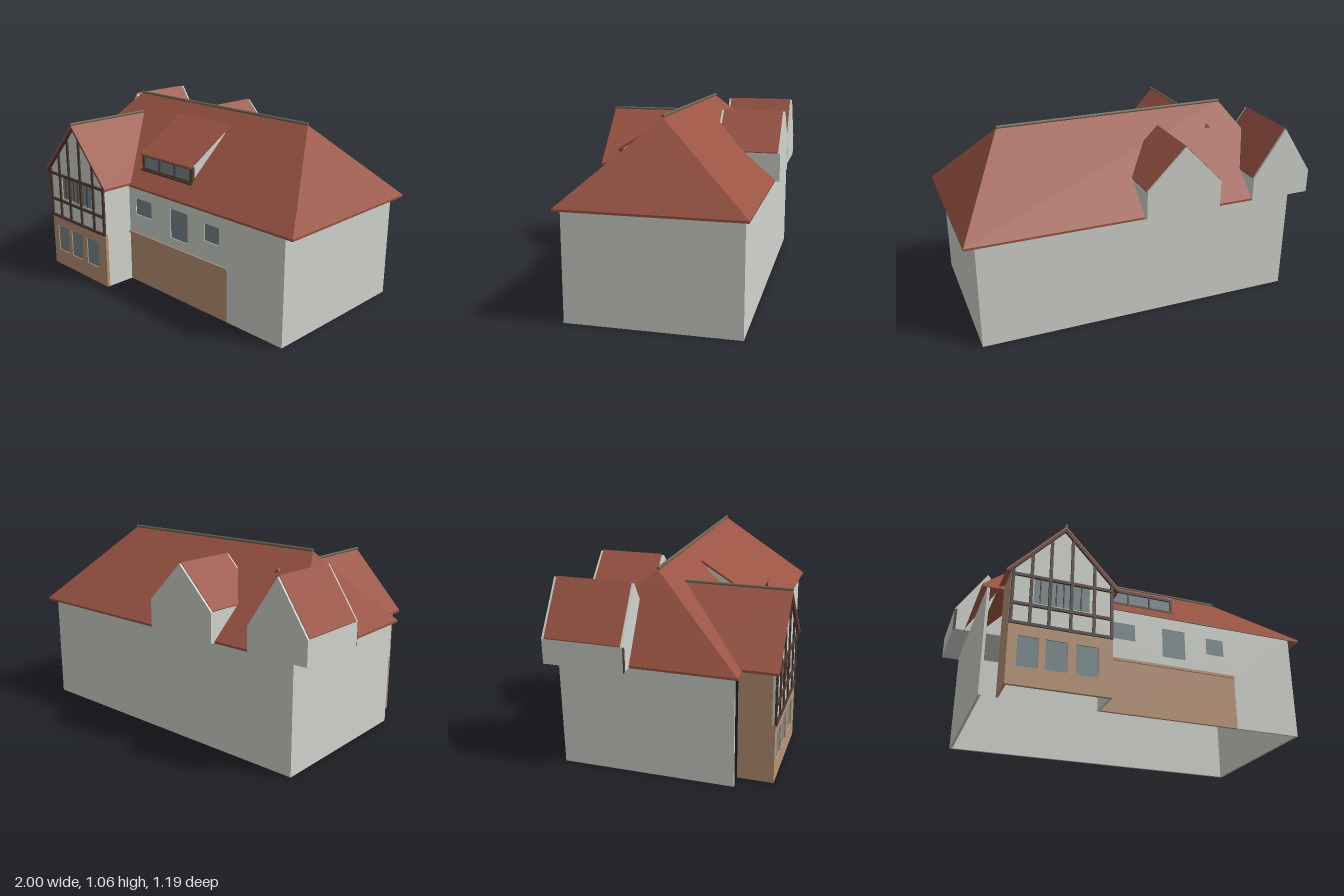
import * as THREE from 'three';

const mat = (name, color, side = THREE.FrontSide) => {
  const m = new THREE.MeshStandardMaterial({ color, side });
  m.name = name;
  return m;
};

export function createModel() {
  const house = new THREE.Group();
  house.name = 'house';
  const render = mat('pale render', 0xd0d3cd);
  const tile = mat('red roof tile', 0x9a5444, THREE.DoubleSide);
  const brick = mat('brick', 0xb89274);
  const glass = mat('grey glass', 0x76878c);
  const timber = mat('dark timber', 0x4f3b33);
  const cap = mat('ridge stone', 0x6e6655);

  const add = (name, geo, m) => {
    const mesh = new THREE.Mesh(geo, m);
    mesh.name = name;
    house.add(mesh);
    return mesh;
  };
  // Box given by its minimum and maximum on each axis
  const box = (name, m, x0, x1, y0, y1, z0, z1) =>
    add(name, new THREE.BoxGeometry(x1 - x0, y1 - y0, z1 - z0)
      .translate((x0 + x1) / 2, (y0 + y1) / 2, (z0 + z1) / 2), m);
  const shapeOf = pts => new THREE.Shape(pts.map(p => new THREE.Vector2(...p)));
  // Outline in x,y pushed along z, with rectangular holes [x0, x1, y0, y1]
  const prism = (name, m, pts, z0, z1, holes = []) => {
    const s = shapeOf(pts);
    for (const [a, b, c, d] of holes)
      s.holes.push(new THREE.Path([[a, c], [a, d], [b, d], [b, c]].map(p => new THREE.Vector2(...p))));
    return add(name, new THREE.ExtrudeGeometry(s, { depth: z1 - z0, bevelEnabled: false }).translate(0, 0, z0), m);
  };
  // Outline in z,y pushed along x
  const sidePrism = (name, m, pts, x0, x1) =>
    add(name, new THREE.ExtrudeGeometry(shapeOf(pts), { depth: x1 - x0, bevelEnabled: false })
      .rotateY(-Math.PI / 2).translate(x1, 0, 0), m);
  const rect = (x0, x1, y0, y1) => [[x0, y0], [x1, y0], [x1, y1], [x0, y1]];
  // Inverted V of thickness t, for gable roofs and barge boards
  const chevron = (cx, w, eave, peak, t) => [
    [cx - w, eave - t], [cx, peak - t], [cx + w, eave - t],
    [cx + w, eave], [cx, peak], [cx - w, eave]];
  const panes = (name, list, z) => list.forEach(([a, b, c, d]) => box(name, glass, a, b, c, d, z, z + 0.007));

  // Main walls, open below
  box('backWall', render, -0.90, 0.94, 0, 0.612, -0.545, -0.53);
  box('rightWall', render, -0.90, -0.885, 0, 0.612, -0.53, 0.39);
  box('leftWall', render, 0.925, 0.94, 0, 0.612, -0.53, 0.39);
  const upper = [[-0.20, -0.06, 0.435, 0.535], [0.105, 0.245, 0.37, 0.545], [0.38, 0.49, 0.43, 0.53]];
  prism('frontWall', render, [[-0.26, 0.31], [0.55, 0.31], [0.55, 0], [0.925, 0], [0.925, 0.612], [-0.26, 0.612]],
    0.375, 0.39, upper);
  panes('upperWindow', upper, 0.378);
  box('brickWall', brick, -0.26, 0.55, 0, 0.31, 0.375, 0.39);
  box('brickCourse', brick, -0.26, 0.55, 0.302, 0.317, 0.386, 0.398);

  // Hipped main roof: eave rings and a ridge
  const A = [[-0.93, 0.41], [1, 0.41], [1, -0.57], [-0.93, -0.57]];
  const R = [[-0.67, 1.045, -0.075], [0.69, 1.045, -0.075]];
  const low = A.map(([x, z]) => [x, 0.604, z]), top = A.map(([x, z]) => [x, 0.616, z]);
  const tris = [];
  const quad = (a, b, c, d) => tris.push(a, b, c, a, c, d);
  for (let i = 0; i < 4; i++) quad(low[i], low[(i + 1) % 4], top[(i + 1) % 4], top[i]);
  quad(top[0], top[1], R[1], R[0]);
  quad(top[2], top[3], R[0], R[1]);
  tris.push(top[1], top[2], R[1], top[3], top[0], R[0]);
  const hip = new THREE.BufferGeometry();
  hip.setAttribute('position', new THREE.Float32BufferAttribute(tris.flat(), 3));
  hip.computeVertexNormals();
  add('mainRoof', hip, tile);
  add('mainRidge', new THREE.CylinderGeometry(0.009, 0.009, 1.36, 8).rotateZ(Math.PI / 2)
    .translate(0.01, 1.05, -0.075), cap);

  // Front bay
  const cx = -0.535;
  const ground = [[-0.76, -0.65, 0.10, 0.265], [-0.615, -0.50, 0.10, 0.265], [-0.455, -0.335, 0.10, 0.265]];
  prism('bayBrickFront', brick, rect(-0.81, -0.26, 0, 0.33), 0.56, 0.578, ground);
  panes('groundWindow', ground, 0.564);
  const band = [[-0.69, -0.39, 0.46, 0.605]];
  prism('bayGableWall', render, [[-0.81, 0.33], [-0.26, 0.33], [-0.26, 0.64], [cx, 0.937], [-0.81, 0.64]],
    0.56, 0.575, band);
  panes('bayWindow', band, 0.564);
  box('bayLeftWall', render, -0.272, -0.26, 0, 0.63, 0.375, 0.56);
  box('bayRightWall', brick, -0.81, -0.798, 0, 0.63, 0.385, 0.56);
  prism('bayRoof', tile, chevron(cx, 0.305, 0.625, 0.953, 0.014), -0.205, 0.595);
  prism('bargeBoard', timber, chevron(cx, 0.295, 0.622, 0.939, 0.016), 0.575, 0.59);
  add('bayRidge', new THREE.CylinderGeometry(0.008, 0.008, 0.57, 8).rotateX(Math.PI / 2)
    .translate(cx, 0.957, 0.312), cap);

  // Timber framing on the bay
  for (const y of [0.333, 0.442, 0.61]) box('timberRail', timber, -0.81, -0.26, y - 0.008, y + 0.008, 0.573, 0.586);
  for (const x of [-0.802, -0.705, -0.605, -0.49, -0.365, -0.268]) {
    const roofY = 0.925 - Math.abs(x - cx) * 1.075;
    box('timberPost', timber, x - 0.008, x + 0.008, 0.33, roofY, 0.573, 0.584);
  }
  for (const x of [-0.655, -0.57, -0.53, -0.435]) box('bayMullion', timber, x - 0.003, x + 0.003, 0.46, 0.605, 0.57, 0.576);

  // Shed dormer on the front slope
  sidePrism('shedRoof', tile, [[0.02, 0.972], [0.33, 0.782], [0.33, 0.794], [0.02, 0.986]], -0.22, 0.21);
  for (const x of [-0.21, 0.188])
    sidePrism('shedCheek', render, [[0.05, 0.92], [0.30, 0.69], [0.30, 0.80], [0.05, 0.955]], x, x + 0.012);
  prism('shedFrame', timber, rect(-0.215, 0.205, 0.695, 0.788), 0.295, 0.318, [[-0.20, 0.19, 0.708, 0.775]]);
  box('shedSill', timber, -0.22, 0.21, 0.69, 0.702, 0.295, 0.328);
  box('shedGlass', glass, -0.20, 0.19, 0.708, 0.775, 0.302, 0.309);
  for (const x of [-0.07, 0.06]) box('shedMullion', timber, x - 0.004, x + 0.004, 0.708, 0.775, 0.306, 0.316);

  // Gabled dormers at the back
  const dormer = (name, c, w, eave, peak, z0, z1) => {
    prism(name + 'Body', render, [[c - w, 0.606], [c + w, 0.606], [c + w, eave], [c, peak], [c - w, eave]], z0, z1);
    prism(name + 'Roof', tile, chevron(c, w, eave + 0.005, peak + 0.005, 0.008), z0 + 0.013, z1 - 0.013);
  };
  dormer('backDormer', -0.20, 0.22, 0.772, 0.995, -0.597, -0.21);
  dormer('cornerDormer', -0.82, 0.18, 0.74, 1.01, -0.578, -0.145);
  box('cornerPost', timber, -1, -0.985, 0.606, 0.735, -0.146, -0.141);

  return house;
}
